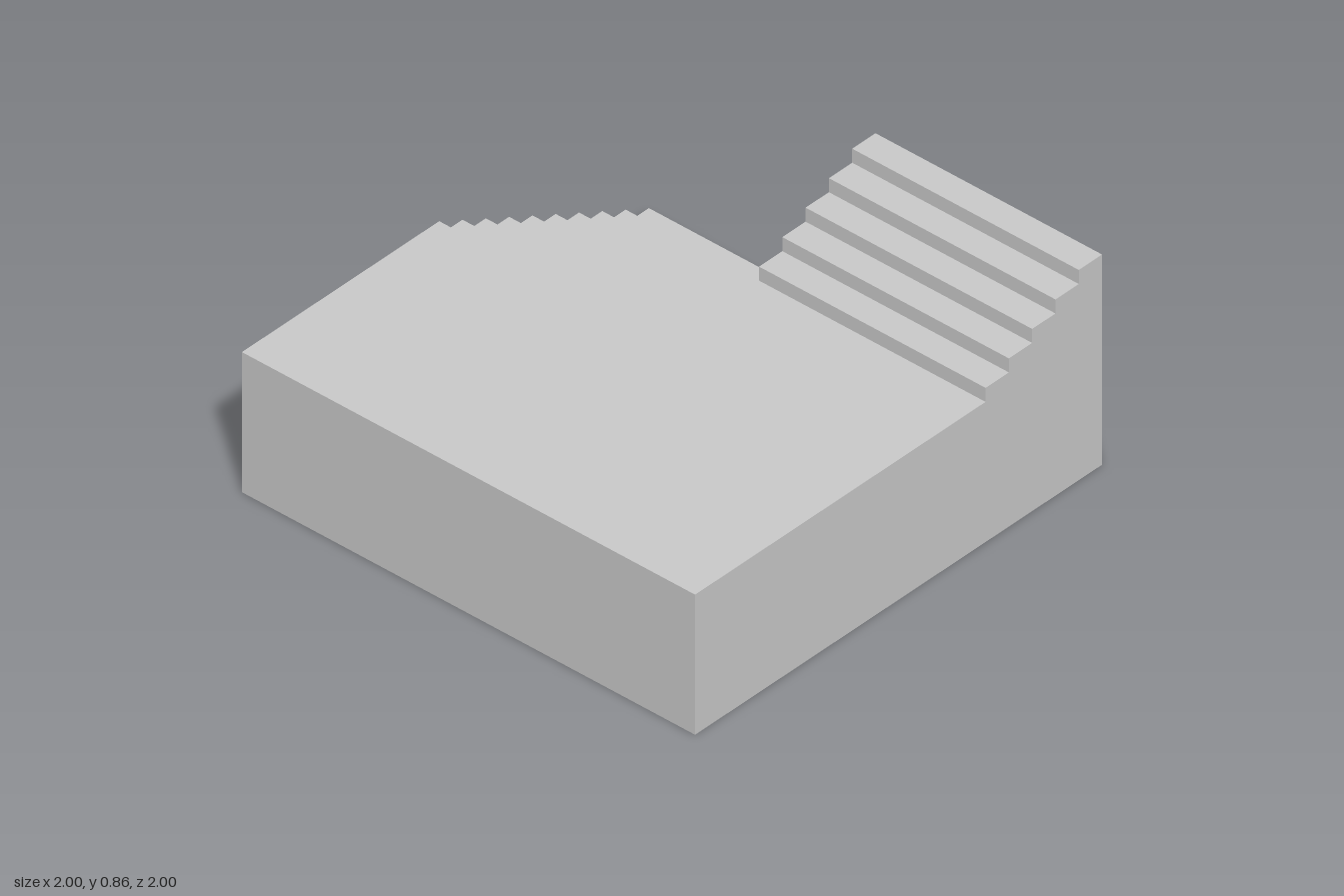
import * as THREE from 'three';

const RUN = 0.1145;            // tread depth
const RISE = 0.0573;           // step height
const LANDING = 10 * RISE;     // landing height

// Half of the block: landing on the right, then steps climbing or descending to x = 1
function steppedBlock(name, steps, rise, zStart, material) {
  const shape = new THREE.Shape();
  shape.moveTo(-1, 0);
  shape.lineTo(-1, LANDING);
  let y = LANDING;
  for (let i = steps; i > 0; i--) {
    const x = 1 - i * RUN;
    shape.lineTo(x, y);
    y += rise;
    shape.lineTo(x, y);
  }
  shape.lineTo(1, y);
  shape.lineTo(1, 0);
  shape.closePath();

  const geometry = new THREE.ExtrudeGeometry(shape, { depth: 1, bevelEnabled: false });
  geometry.translate(0, 0, zStart);
  const mesh = new THREE.Mesh(geometry, material);
  mesh.name = name;
  return mesh;
}

export function createModel() {
  const model = new THREE.Group();
  model.name = 'staircase';
  const material = new THREE.MeshStandardMaterial({ color: 0xcccccc, flatShading: true });

  // Back half: flight going down from the landing to the ground
  model.add(steppedBlock('lowerFlight', 9, -RISE, -1, material));
  // Front half: flight going up from the landing
  model.add(steppedBlock('upperFlight', 5, RISE, 0, material));
  return model;
}
